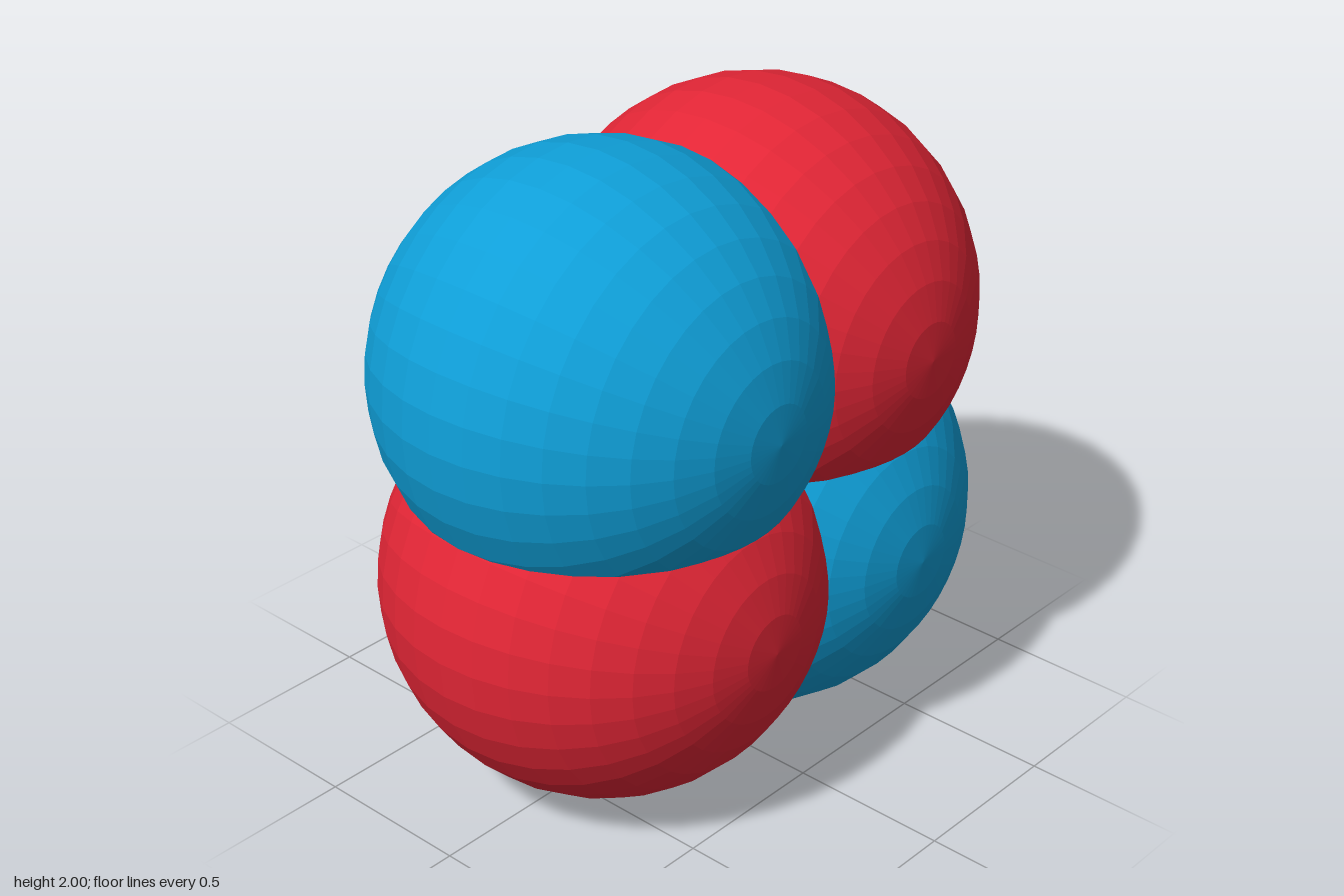
import * as THREE from 'three';

export function createModel() {
  const group = new THREE.Group();
  group.name = 'sphereCluster';

  const red = new THREE.MeshStandardMaterial({ color: 0xe32636, flatShading: true });
  const blue = new THREE.MeshStandardMaterial({ color: 0x0f9fd8, flatShading: true });

  // Faceted ball with its poles on the z axis
  const offset = 1 / 3;
  const ball = new THREE.SphereGeometry(2 / 3, 36, 18);
  ball.rotateX(Math.PI / 2);

  // Two by two overlapping balls, colours alternating like a checkerboard
  for (const sx of [-1, 1]) {
    for (const sy of [-1, 1]) {
      const mesh = new THREE.Mesh(ball, sx === sy ? red : blue);
      mesh.name = (sy > 0 ? 'upper' : 'lower') + (sx > 0 ? 'Left' : 'Right') + 'Ball';
      mesh.position.set(sx * offset, 1 + sy * offset, 0);
      group.add(mesh);
    }
  }
  return group;
}
